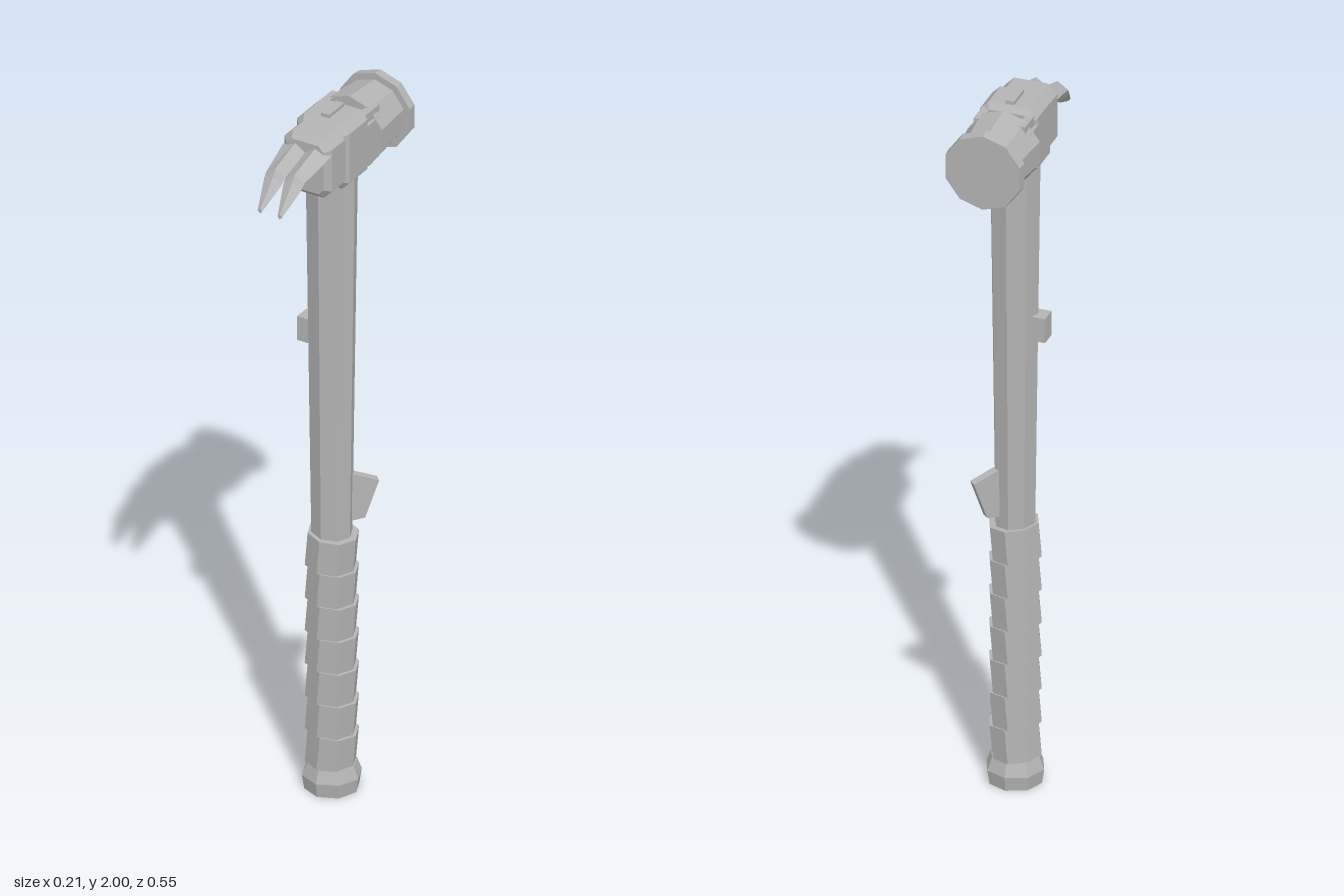
import * as THREE from 'three';

export function createModel() {
  const hammer = new THREE.Group();
  hammer.name = 'hammer';
  const grey = new THREE.MeshStandardMaterial({ color: 0xb4b4b4 });
  grey.name = 'plain grey';
  grey.flatShading = true;
  const AXIS_Z = -0.035; // handle axis
  const HEAD_Y = 1.89;

  const add = (name, geometry, x = 0, y = 0, z = 0) => {
    const mesh = new THREE.Mesh(geometry, grey);
    mesh.name = name;
    mesh.position.set(x, y, z);
    hammer.add(mesh);
    return mesh;
  };
  const box = (name, w, h, d, x, y, z) => add(name, new THREE.BoxGeometry(w, h, d), x, y, z);

  // Block with every edge chamfered, centred on its origin
  const chamferBox = (w, h, d, c) => {
    const a = w / 2 - c, b = h / 2 - c;
    const shape = new THREE.Shape([
      [-a + c, -b], [a - c, -b], [a, -b + c], [a, b - c],
      [a - c, b], [-a + c, b], [-a, b - c], [-a, -b + c],
    ].map(([x, y]) => new THREE.Vector2(x, y)));
    const g = new THREE.ExtrudeGeometry(shape, {
      depth: d - 2 * c, bevelEnabled: true, bevelSegments: 1, bevelSize: c, bevelThickness: c,
    });
    return g.translate(0, 0, -(d / 2 - c));
  };

  // Pommel
  const pommel = [[0, 0], [0.073, 0], [0.079, 0.04], [0.066, 0.075], [0, 0.08]];
  add('pommel', new THREE.LatheGeometry(pommel.map(([r, y]) => new THREE.Vector2(r, y)), 8), 0, 0, AXIS_Z);

  // Wrapped grip: short tilted rings
  const rings = 7, ringHeight = 0.097;
  for (let i = 0; i < rings; i++) {
    const ring = add('gripRing', new THREE.CylinderGeometry(0.068, 0.068, ringHeight, 8),
      0, 0.124 + i * 0.0965, AXIS_Z);
    ring.rotation.z = -0.09;
  }

  // Tapered shaft
  add('shaft', new THREE.CylinderGeometry(0.069, 0.054, 1.1, 8), 0, 1.27, AXIS_Z);

  // Small peg on the shaft
  box('shaftPeg', 0.04, 0.07, 0.048, -0.07, 1.335, AXIS_Z);

  // Loose end of the wrap, a slanted flap pointing out and back
  const flap = new THREE.Shape([[0.045, 0.78], [0.085, 0.785], [0.122, 0.89], [0.045, 0.92]]
    .map(([x, y]) => new THREE.Vector2(x, y)));
  const flapMesh = add('wrapFlap',
    new THREE.ExtrudeGeometry(flap, { depth: 0.024, bevelEnabled: false }).translate(0, 0, -0.012),
    0, 0, AXIS_Z);
  flapMesh.rotation.y = Math.PI / 4;

  // Head blocks
  add('headBlock', chamferBox(0.158, 0.19, 0.118, 0.014), 0, 1.894, -0.037);
  add('frontBlock', chamferBox(0.144, 0.174, 0.13, 0.016), 0, 1.892, 0.032);
  add('neck', chamferBox(0.144, 0.15, 0.09, 0.014), 0, HEAD_Y, -0.11);
  box('topPlate', 0.024, 0.016, 0.073, 0, 1.991, -0.039);

  // Clamps from the head block onto the hammer barrel
  for (const s of [-1, 1]) {
    box('topClamp', 0.022, 0.035, 0.075, s * 0.06, 1.957, -0.115);
    box('sideClamp', 0.02, 0.045, 0.08, s * 0.07, 1.925, -0.1);
  }

  // Ten-sided barrel and striking face
  const barrel = add('barrel', new THREE.CylinderGeometry(0.104, 0.091, 0.13, 10), 0, HEAD_Y, -0.185);
  barrel.rotation.x = Math.PI / 2;
  const face = add('strikingFace', new THREE.CylinderGeometry(0.11, 0.107, 0.028, 10), 0, HEAD_Y, -0.261);
  face.rotation.x = Math.PI / 2;

  // One claw from four-sided sections: [z, top, side, bottom, inner x, ridge x, outer x]
  const clawSections = [
    [0.07, 1.96, 1.94, 1.885, 0, 0.03, 0.073],
    [0.195, 1.925, 1.905, 1.865, 0, 0.029, 0.058],
    [0.208, 1.905, 1.89, 1.855, 0.002, 0.029, 0.056],
    [0.27, 1.842, 1.836, 1.828, 0.023, 0.029, 0.037],
  ];
  const clawGeometry = (side) => {
    const rows = clawSections.map(([z, top, mid, bottom, inner, ridge, outer]) => {
      const row = [[outer, mid], [ridge, top], [inner, mid], [ridge, bottom]]
        .map(([x, y]) => [side * x, y, z]);
      return side < 0 ? row.reverse() : row;
    });
    const p = [];
    const quad = (a, b, c, d) => p.push(...a, ...b, ...c, ...a, ...c, ...d);
    for (let r = 0; r < rows.length - 1; r++) {
      for (let i = 0; i < 4; i++) {
        const j = (i + 1) % 4;
        quad(rows[r][i], rows[r][j], rows[r + 1][j], rows[r + 1][i]);
      }
    }
    quad(...rows[rows.length - 1]);
    quad(...[...rows[0]].reverse());
    const g = new THREE.BufferGeometry();
    g.setAttribute('position', new THREE.Float32BufferAttribute(p, 3));
    g.computeVertexNormals();
    return g;
  };
  add('leftClaw', clawGeometry(1));
  add('rightClaw', clawGeometry(-1));

  return hammer;
}
